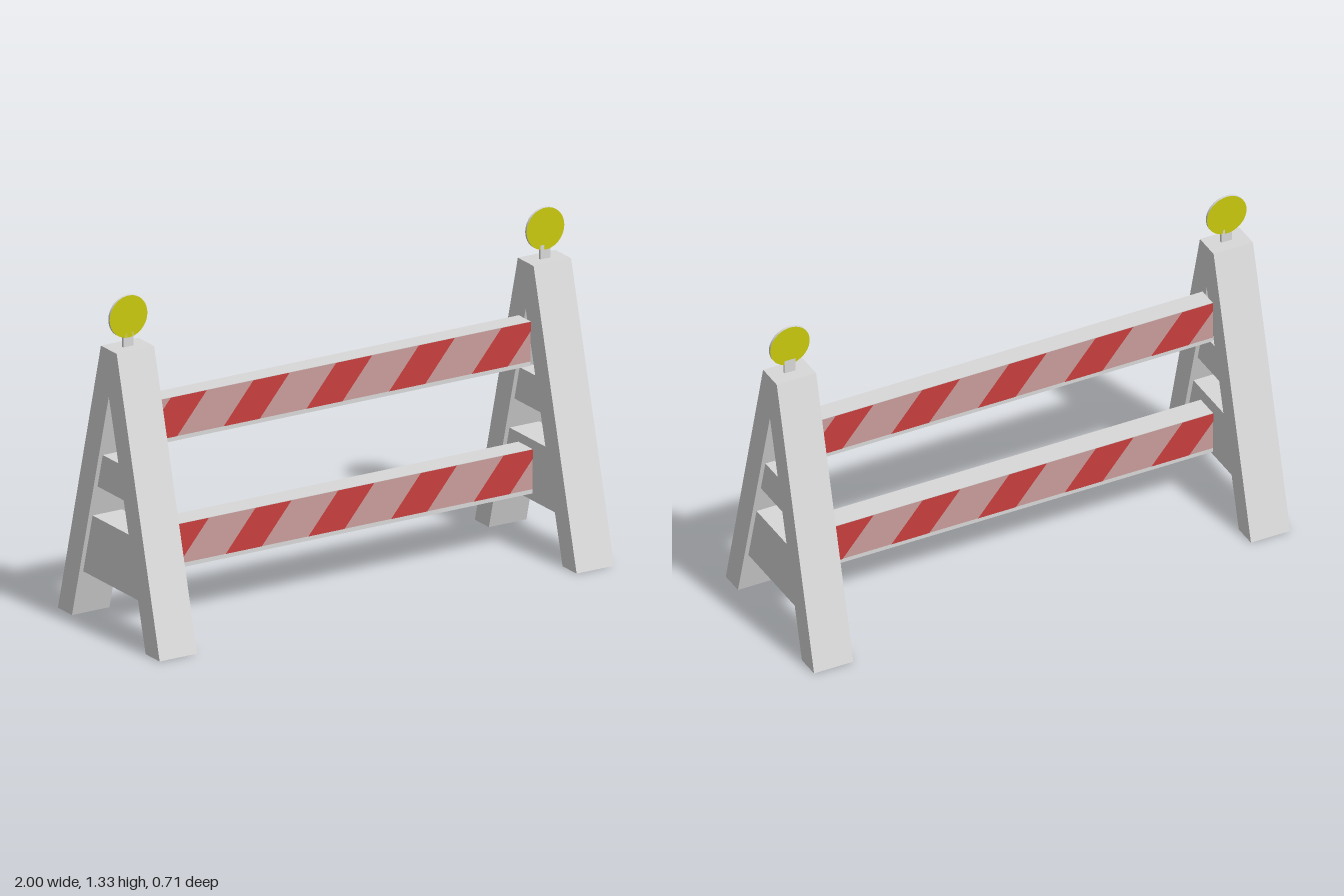
import * as THREE from 'three';

const mat = (name, color, side = THREE.FrontSide) => {
  const m = new THREE.MeshStandardMaterial({ color, side });
  m.name = name;
  return m;
};

const HALF = 0.835;    // half length of the rails
const FRAME_W = 0.165; // width of each A-frame along x
const FRAME_X = 0.9175;

// Keep the part of a polygon where sign * x <= HALF
function clipX(points, sign) {
  const out = [];
  points.forEach((a, i) => {
    const b = points[(i + 1) % points.length];
    const da = HALF - sign * a.x, db = HALF - sign * b.x;
    if (da >= 0) out.push(a);
    if (da * db < 0) out.push(a.clone().lerp(b, da / (da - db)));
  });
  return out;
}

// Extrude a (z, y) outline along x, centred on x = 0
function sidePrism(outline, width) {
  const shape = new THREE.Shape(outline.map(([z, y]) => new THREE.Vector2(z, y)));
  const geo = new THREE.ExtrudeGeometry(shape, { depth: width, bevelEnabled: false });
  return geo.translate(0, 0, -width / 2).rotateY(-Math.PI / 2);
}

export function createModel() {
  const grey = mat('grey plastic', 0xd8d8d8);
  const pale = mat('pale reflective', 0xc99d9b);
  const red = mat('red reflective', 0xc83e3e);
  const yellow = mat('yellow lamp', 0xc9c90e);

  const model = new THREE.Group();
  model.name = 'barricade';
  const add = (parent, name, geo, material, x = 0, y = 0, z = 0) => {
    const mesh = new THREE.Mesh(geo, material);
    mesh.name = name;
    mesh.position.set(x, y, z);
    parent.add(mesh);
    return mesh;
  };

  // A-frames with crossbars and a lamp on top
  const innerZ = (y) => 0.257 * (1 - y / 0.94);
  const legs = sidePrism([
    [0.355, 0], [0.055, 1.125], [-0.055, 1.125], [-0.355, 0],
    [-0.257, 0], [0, 0.94], [0.257, 0],
  ], FRAME_W);
  const crossbar = (y0, y1) => sidePrism([
    [innerZ(y0), y0], [innerZ(y1), y1], [-innerZ(y1), y1], [-innerZ(y0), y0],
  ], 0.13);
  const lowerBar = crossbar(0.185, 0.425), upperBar = crossbar(0.55, 0.685);
  const disc = new THREE.CylinderGeometry(0.083, 0.083, 0.01, 40).rotateX(Math.PI / 2);
  const post = new THREE.BoxGeometry(0.045, 0.06, 0.01);
  for (const side of [-1, 1]) {
    const frame = new THREE.Group();
    frame.name = side > 0 ? 'leftFrame' : 'rightFrame';
    frame.position.x = side * FRAME_X;
    add(frame, 'legs', legs, grey);
    add(frame, 'lowerCrossbar', lowerBar, grey);
    add(frame, 'upperCrossbar', upperBar, grey);
    add(frame, 'lampPost', post, grey, 0, 1.15, 0.002);
    add(frame, 'lamp', disc, [grey, yellow, yellow], 0, 1.243, 0.002);
    model.add(frame);
  }

  // Reflective sheet with slanted stripes, facing +z
  const SHEET_H = 0.157;
  const stripes = [];
  for (let i = -2; i <= 2; i++) {
    const x = -0.153 + i * 0.364;
    const corners = [[x, 0], [x + 0.159, 0], [x + 0.29, SHEET_H], [x + 0.131, SHEET_H]];
    const points = corners.map(([px, py]) => new THREE.Vector2(px, py));
    stripes.push(new THREE.Shape(clipX(clipX(points, 1), -1)));
  }
  const stripeGeo = new THREE.ShapeGeometry(stripes);
  const sheetGeo = new THREE.PlaneGeometry(2 * HALF, SHEET_H).translate(0, SHEET_H / 2, 0);

  // Rails: a box with a sheet on the front and back and finely striped ends
  const rail = (name, y, zBack, zFront) => {
    const group = new THREE.Group();
    group.name = name;
    group.position.y = y;
    const depth = zFront - zBack, mid = (zFront + zBack) / 2;
    add(group, 'beam', new THREE.BoxGeometry(2 * HALF, 0.175, depth), grey, 0, 0.0875, mid);
    for (const side of [1, -1]) {
      const face = new THREE.Group();
      face.name = side > 0 ? 'frontSheet' : 'backSheet';
      face.position.set(0, 0.017, side > 0 ? zFront : zBack);
      face.rotation.y = side > 0 ? 0 : Math.PI;
      add(face, 'paleSheet', sheetGeo, pale, 0, 0, 0.001);
      add(face, 'redStripes', stripeGeo, red, 0, 0, 0.002);
      group.add(face);

      const end = new THREE.Group();
      end.name = side > 0 ? 'leftEnd' : 'rightEnd';
      end.position.set(side * HALF, 0.017 + SHEET_H / 2, mid);
      end.rotation.y = side * Math.PI / 2;
      add(end, 'paleEnd', new THREE.PlaneGeometry(depth, SHEET_H), pale, 0, 0, 0.001);
      const band = new THREE.PlaneGeometry(depth * 0.1, SHEET_H);
      for (let i = -2; i <= 2; i++) add(end, 'redEndStripe', band, red, i * depth * 0.2, 0, 0.002);
      group.add(end);
    }
    model.add(group);
  };
  rail('upperRail', 0.725, -0.048, 0.034);
  rail('lowerRail', 0.225, -0.05, 0.048);

  return model;
}
